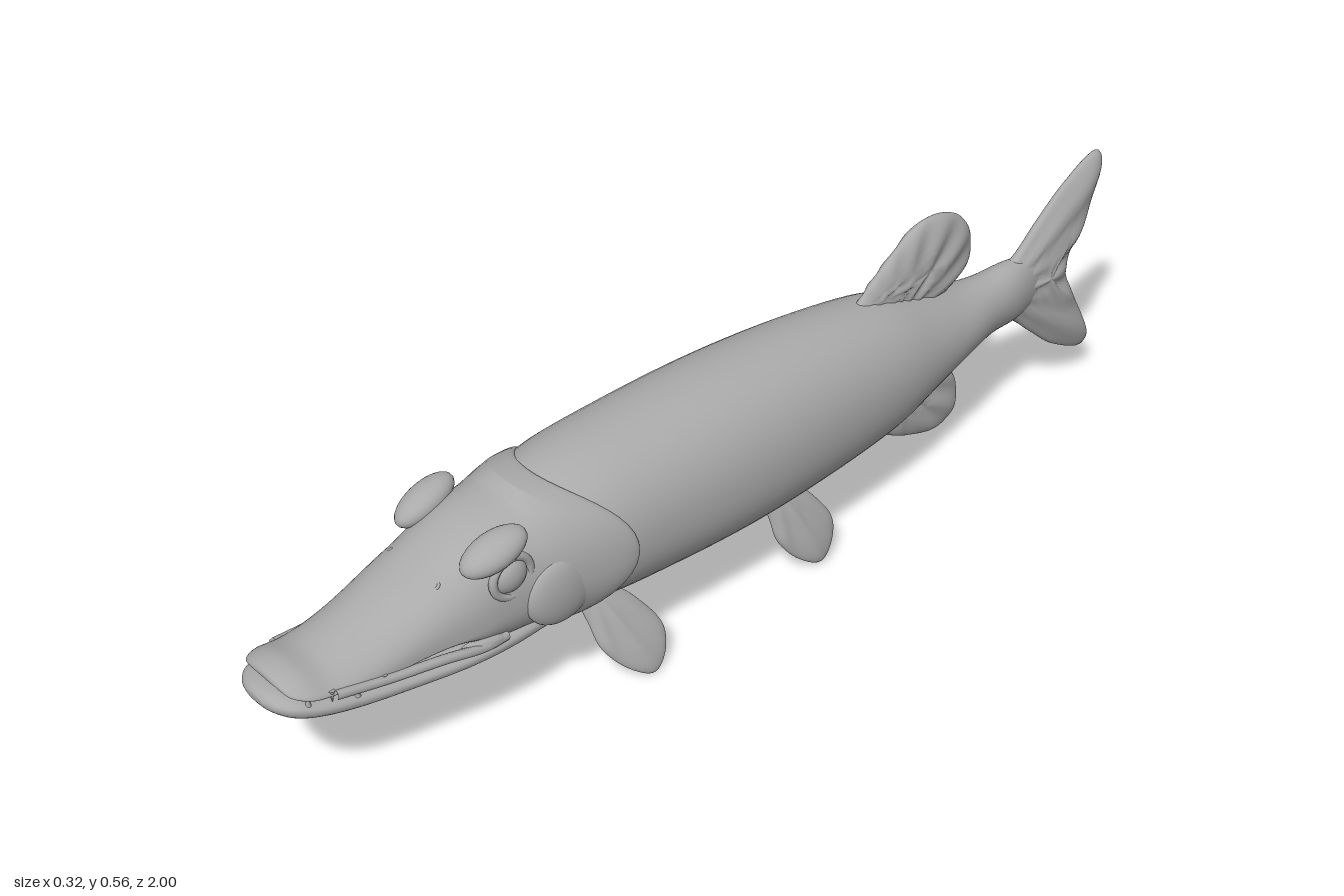
import * as THREE from 'three';

const grey = new THREE.MeshStandardMaterial({ color: 0xaaaaaa });
grey.name = 'plain grey';

// Closed smooth skin over a list of equal-length rings, capped at both ends
function skin(rings) {
  const n = rings[0].length, pos = [], idx = [];
  rings.forEach(r => r.forEach(p => pos.push(p.x, p.y, p.z)));
  for (let i = 0; i < rings.length - 1; i++) for (let j = 0; j < n; j++) {
    const a = i * n + j, b = i * n + (j + 1) % n;
    idx.push(a, b, a + n, b, b + n, a + n);
  }
  [0, rings.length - 1].forEach((k, end) => {
    const c = new THREE.Vector3();
    rings[k].forEach(p => c.addScaledVector(p, 1 / n));
    const m = pos.length / 3;
    pos.push(c.x, c.y, c.z);
    for (let j = 0; j < n; j++) {
      const a = k * n + j, b = k * n + (j + 1) % n;
      if (end) idx.push(a, b, m); else idx.push(b, a, m);
    }
  });
  const g = new THREE.BufferGeometry();
  g.setAttribute('position', new THREE.Float32BufferAttribute(pos, 3));
  g.setIndex(idx);
  g.computeVertexNormals();
  return g;
}

// Loft along z from rows of [z, top, bottom, halfWidth, widestY, squareness]
function loft(rows, warp = () => {}, n = 48, sub = 6) {
  const curve = f => new THREE.CatmullRomCurve3(rows.map(f), false, 'catmullrom', 0.5);
  const A = curve(r => new THREE.Vector3(r[0], r[1], r[2]));
  const B = curve(r => new THREE.Vector3(r[3], r[4], r[5]));
  const pw = (v, e) => Math.sign(v) * Math.abs(v) ** e;
  const rings = [], steps = (rows.length - 1) * sub;
  for (let i = 0; i <= steps; i++) {
    const a = A.getPoint(i / steps), b = B.getPoint(i / steps), ring = [];
    for (let j = 0; j < n; j++) {
      const t = j / n * Math.PI * 2, s = pw(Math.sin(t), b.z);
      const p = new THREE.Vector3(b.x * pw(Math.cos(t), b.z),
        b.y + s * (s > 0 ? a.y - b.y : b.y - a.z), a.x);
      warp(p);
      ring.push(p);
    }
    rings.push(ring);
  }
  return skin(rings);
}

// Lens-shaped fin from a [z, y] outline, with rays fanning out of a root point
function fin(outline, centre, root, thick, rays, lean = () => 0) {
  const pts = outline.map(([z, y]) => new THREE.Vector2(z, y));
  if (THREE.ShapeUtils.area(pts) < 0) pts.reverse();
  const edge = new THREE.CatmullRomCurve3(pts.map(p => new THREE.Vector3(p.x, p.y, 0)), true, 'centripetal').getPoints(96).slice(0, -1);
  const rings = [], K = 22;
  for (let k = 0; k <= K; k++) {
    const phi = 0.03 + (Math.PI - 0.06) * k / K, r = Math.sin(phi) ** 0.8;
    rings.push(edge.map(p => {
      const z = centre[0] + (p.x - centre[0]) * r, y = centre[1] + (p.y - centre[1]) * r;
      const dz = z - root[0], dy = y - root[1];
      const ridge = 1 + 0.16 * Math.cos(Math.atan2(dy, -dz) * rays) * Math.min(1, Math.hypot(dz, dy) / 0.1);
      return new THREE.Vector3(Math.cos(phi) * thick * ridge + lean(z, y), y, z);
    }));
  }
  return skin(rings);
}

export function createModel() {
  const model = new THREE.Group();
  const add = (name, geo, pos = [0, 0, 0], scale = [1, 1, 1], rot = [0, 0, 0]) => {
    const m = new THREE.Mesh(geo, grey);
    m.name = name;
    m.position.set(...pos); m.scale.set(...scale); m.rotation.set(...rot);
    model.add(m);
    return m;
  };
  const ball = new THREE.SphereGeometry(1, 24, 16);

  // Trunk
  add('body', loft([
    [-0.84, 0.36, 0.25, 0.018, 0.305, 1], [-0.76, 0.37, 0.237, 0.04, 0.305, 1],
    [-0.68, 0.367, 0.24, 0.053, 0.305, 1], [-0.6, 0.377, 0.23, 0.074, 0.305, 1],
    [-0.5, 0.408, 0.198, 0.095, 0.305, 1], [-0.38, 0.443, 0.163, 0.118, 0.305, 0.97],
    [-0.2, 0.465, 0.145, 0.137, 0.305, 0.95], [0, 0.474, 0.14, 0.15, 0.3, 0.94],
    [0.2, 0.47, 0.147, 0.151, 0.3, 0.94], [0.36, 0.458, 0.162, 0.145, 0.3, 0.95],
    [0.48, 0.43, 0.19, 0.11, 0.3, 1]]));

  // Head with flared gill covers whose rear edge is rounded, and the long upper jaw
  add('head', loft([
    [0.318, 0.445, 0.175, 0.135, 0.3, 0.95], [0.308, 0.45, 0.166, 0.15, 0.3, 0.95],
    [0.318, 0.453, 0.16, 0.158, 0.3, 0.95], [0.36, 0.455, 0.163, 0.156, 0.3, 0.95],
    [0.43, 0.45, 0.172, 0.145, 0.3, 0.93], [0.5, 0.44, 0.182, 0.132, 0.3, 0.9],
    [0.56, 0.428, 0.192, 0.124, 0.29, 0.85], [0.61, 0.41, 0.215, 0.12, 0.275, 0.85],
    [0.66, 0.385, 0.25, 0.115, 0.272, 0.85], [0.74, 0.355, 0.263, 0.105, 0.283, 0.85],
    [0.82, 0.329, 0.274, 0.097, 0.291, 0.85], [0.89, 0.312, 0.283, 0.09, 0.297, 0.9],
    [0.94, 0.318, 0.291, 0.085, 0.303, 0.9], [0.97, 0.314, 0.296, 0.064, 0.304, 0.95],
    [0.978, 0.307, 0.3, 0.03, 0.304, 1]], p => {
    p.z += 6 * (p.y - 0.31) ** 2 * THREE.MathUtils.clamp((0.5 - p.z) / 0.15, 0, 1);
    p.y -= 0.022 * (p.x / 0.09) ** 2 * THREE.MathUtils.smoothstep(p.z, 0.66, 0.85);
  }));

  // Lower jaw, reaching past the upper one
  add('lowerJaw', loft([
    [0.42, 0.24, 0.175, 0.1, 0.21, 0.9], [0.55, 0.242, 0.184, 0.119, 0.218, 0.85],
    [0.65, 0.245, 0.191, 0.12, 0.222, 0.85], [0.75, 0.252, 0.2, 0.111, 0.23, 0.85],
    [0.85, 0.264, 0.211, 0.1, 0.24, 0.85], [0.92, 0.277, 0.222, 0.091, 0.253, 0.9],
    [0.965, 0.287, 0.235, 0.076, 0.264, 0.9], [0.99, 0.285, 0.25, 0.05, 0.268, 1],
    [1.0, 0.277, 0.264, 0.022, 0.27, 1]]));

  const tooth = new THREE.ConeGeometry(0.006, 0.026, 8);
  for (const s of [1, -1]) {
    const side = s > 0 ? 'left' : 'right';
    // Eye under a heavy slanted brow
    add(side + 'Eye', ball, [s * 0.11, 0.358, 0.558], [0.022, 0.034, 0.036]);
    add(side + 'Brow', ball, [s * 0.095, 0.406, 0.575], [0.036, 0.028, 0.066], [0.3, s * -0.1, s * -0.25]);
    add(side + 'EyeSocket', new THREE.TorusGeometry(0.039, 0.008, 10, 28), [s * 0.116, 0.356, 0.556],
      [1, 1, 1], [0, Math.PI / 2, s * 0.2]);
    add(side + 'Nostril', new THREE.TorusGeometry(0.007, 0.003, 8, 16), [s * 0.06, 0.364, 0.672], [1, 1, 1], [-1, 0, 0]);
    // Lip folds and cheek
    const lip = pts => new THREE.TubeGeometry(new THREE.CatmullRomCurve3(pts.map(([x, y, z]) => new THREE.Vector3(s * x, y, z))), 28, 0.009, 8);
    add(side + 'UpperLip', lip([[0.113, 0.236, 0.57], [0.118, 0.24, 0.62], [0.114, 0.255, 0.7], [0.1, 0.262, 0.8], [0.088, 0.275, 0.9]]));
    add(side + 'MouthCorner', ball, [s * 0.112, 0.243, 0.62], [0.012, 0.012, 0.045], [-0.1, s * -0.1, 0]);
    add(side + 'Cheek', ball, [s * 0.123, 0.285, 0.46], [0.025, 0.07, 0.075]);
    // Teeth
    [[0.074, 0.28, 0.945], [0.084, 0.272, 0.905], [0.09, 0.265, 0.86], [0.096, 0.26, 0.81]].forEach(([x, y, z], i) =>
      add(side + 'Tooth' + (i + 1), tooth, [s * x, y, z], [1, 1, 1], [i % 2 ? Math.PI : 0, 0, 0]));
    // Paired fins, splayed outward
    const paddle = [[0.37, 0.18], [0.365, 0.12], [0.355, 0.075], [0.315, 0.025], [0.27, 0.002], [0.24, 0.025],
      [0.228, 0.075], [0.262, 0.135], [0.3, 0.175], [0.335, 0.2]];
    add(side + 'PectoralFin', fin(paddle, [0.3, 0.09], [0.35, 0.2], 0.017, 16,
      (z, y) => s * (0.068 + 0.4 * (0.17 - y) + 0.12 * (0.3 - z))));
    add(side + 'PelvicFin', fin(paddle.map(([z, y]) => [z - 0.435, y + 0.006]), [-0.135, 0.096], [-0.085, 0.206], 0.017, 16,
      (z, y) => s * (0.066 + 0.24 * (0.17 - y) - 0.06 * (z + 0.135))));
  }

  // Single fins along the midline
  add('dorsalFin', fin([[-0.34, 0.43], [-0.365, 0.465], [-0.42, 0.51], [-0.48, 0.552], [-0.53, 0.564], [-0.6, 0.542],
    [-0.637, 0.49], [-0.637, 0.435], [-0.61, 0.402], [-0.56, 0.375], [-0.45, 0.38]], [-0.52, 0.46], [-0.42, 0.36], 0.024, 20));
  add('analFin', fin([[-0.35, 0.18], [-0.38, 0.153], [-0.45, 0.105], [-0.52, 0.077], [-0.585, 0.07], [-0.62, 0.1],
    [-0.622, 0.15], [-0.6, 0.195], [-0.56, 0.23], [-0.45, 0.23]], [-0.52, 0.15], [-0.42, 0.24], 0.023, 20));
  add('tailFin', fin([[-0.7, 0.35], [-0.76, 0.368], [-0.83, 0.432], [-0.9, 0.49], [-0.985, 0.532], [-1, 0.515],
    [-0.975, 0.42], [-0.935, 0.35], [-0.915, 0.305], [-0.935, 0.24], [-0.98, 0.155], [-1, 0.095], [-0.985, 0.08],
    [-0.9, 0.118], [-0.83, 0.178], [-0.76, 0.238], [-0.7, 0.255]], [-0.85, 0.305], [-0.72, 0.305], 0.027, 20));
  return model;
}
